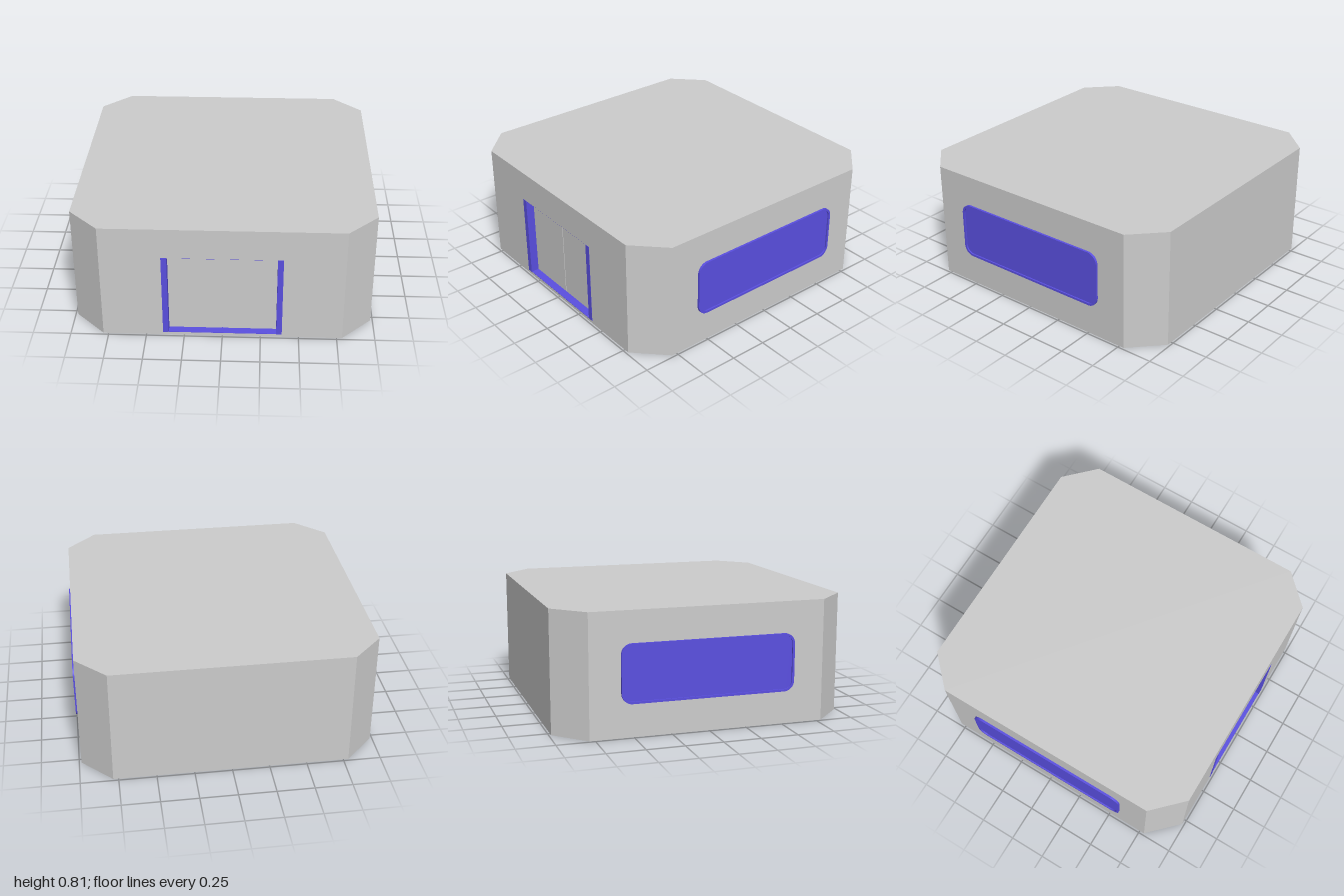
import * as THREE from 'three';

const grey = new THREE.MeshStandardMaterial({ color: 0xcccccc });
const blue = new THREE.MeshStandardMaterial({ color: 0x5a4fe0 });

const HALF = 0.985, CUT = 0.785, HEIGHT = 0.81;
const DOOR_HALF = 0.355, DOOR_BOTTOM = 0.02, DOOR_TOP = 0.6, DOOR_Z = 0.925;

function add(parent, name, geometry, material, x = 0, y = 0, z = 0) {
  const mesh = new THREE.Mesh(geometry, material);
  mesh.name = name;
  mesh.position.set(x, y, z);
  parent.add(mesh);
  return mesh;
}

// Square plan with cut corners, optionally notched at the front for the doorway
function wallLayer(y0, y1, notched) {
  const points = [[-CUT, -HALF]];
  if (notched) {
    points.push([-DOOR_HALF, -HALF], [-DOOR_HALF, -DOOR_Z], [DOOR_HALF, -DOOR_Z], [DOOR_HALF, -HALF]);
  }
  points.push([CUT, -HALF], [HALF, -CUT], [HALF, CUT], [CUT, HALF], [-CUT, HALF], [-HALF, CUT], [-HALF, -CUT]);
  const shape = new THREE.Shape(points.map(([x, y]) => new THREE.Vector2(x, y)));
  const geometry = new THREE.ExtrudeGeometry(shape, { depth: y1 - y0, bevelEnabled: false });
  return geometry.rotateX(-Math.PI / 2).translate(0, y0, 0);
}

function roundedRect(w, h, r, Type = THREE.Shape) {
  const s = new Type();
  s.absarc(w - r, h - r, r, 0, Math.PI / 2);
  s.absarc(r - w, h - r, r, Math.PI / 2, Math.PI);
  s.absarc(r - w, r - h, r, Math.PI, Math.PI * 1.5);
  s.absarc(w - r, r - h, r, Math.PI * 1.5, Math.PI * 2);
  s.closePath();
  return s;
}

// Window facing +z: raised rim around a slightly sunken pane
function createWindow() {
  const group = new THREE.Group();
  const rim = roundedRect(0.58, 0.192, 0.07);
  rim.holes.push(roundedRect(0.565, 0.177, 0.055, THREE.Path));
  const options = { bevelEnabled: false, curveSegments: 8 };
  add(group, 'windowRim', new THREE.ExtrudeGeometry(rim, { ...options, depth: 0.025 }), blue, 0, 0, -0.025);
  add(group, 'windowPane', new THREE.ExtrudeGeometry(roundedRect(0.57, 0.182, 0.06), { ...options, depth: 0.015 }), blue, 0, 0, -0.025);
  return group;
}

export function createModel() {
  const model = new THREE.Group();
  model.name = 'building';

  // Walls, floor and roof
  const body = new THREE.Group();
  body.name = 'body';
  model.add(body);
  add(body, 'base', wallLayer(0, DOOR_BOTTOM, false), grey);
  add(body, 'walls', wallLayer(DOOR_BOTTOM, DOOR_TOP, true), grey);
  add(body, 'roof', wallLayer(DOOR_TOP, HEIGHT, false), grey);

  // Recessed double door with blue lining
  const doorway = new THREE.Group();
  doorway.name = 'doorway';
  model.add(doorway);
  const doorHeight = DOOR_TOP - DOOR_BOTTOM, doorY = (DOOR_TOP + DOOR_BOTTOM) / 2;
  const depth = HALF - DOOR_Z, midZ = (HALF + DOOR_Z) / 2;
  for (const side of [-1, 1]) {
    add(doorway, side > 0 ? 'leftDoor' : 'rightDoor',
      new THREE.BoxGeometry(DOOR_HALF - 0.003, doorHeight, 0.01), grey,
      side * (DOOR_HALF + 0.003) / 2, doorY, DOOR_Z);
    add(doorway, side > 0 ? 'leftJamb' : 'rightJamb',
      new THREE.BoxGeometry(0.037, doorHeight, depth + 0.002), blue,
      side * 0.3715, doorY, midZ + 0.001);
  }
  add(doorway, 'threshold', new THREE.BoxGeometry(DOOR_HALF * 2, 0.004, depth), blue, 0, DOOR_BOTTOM, midZ);
  add(doorway, 'lintel', new THREE.BoxGeometry(DOOR_HALF * 2, 0.004, depth), blue, 0, DOOR_TOP, midZ - 0.001);

  // Long rounded windows on both sides
  for (const side of [-1, 1]) {
    const pane = createWindow();
    pane.name = side > 0 ? 'leftWindow' : 'rightWindow';
    pane.position.set(side, 0.41, 0);
    pane.rotation.y = side * Math.PI / 2;
    model.add(pane);
  }
  return model;
}
